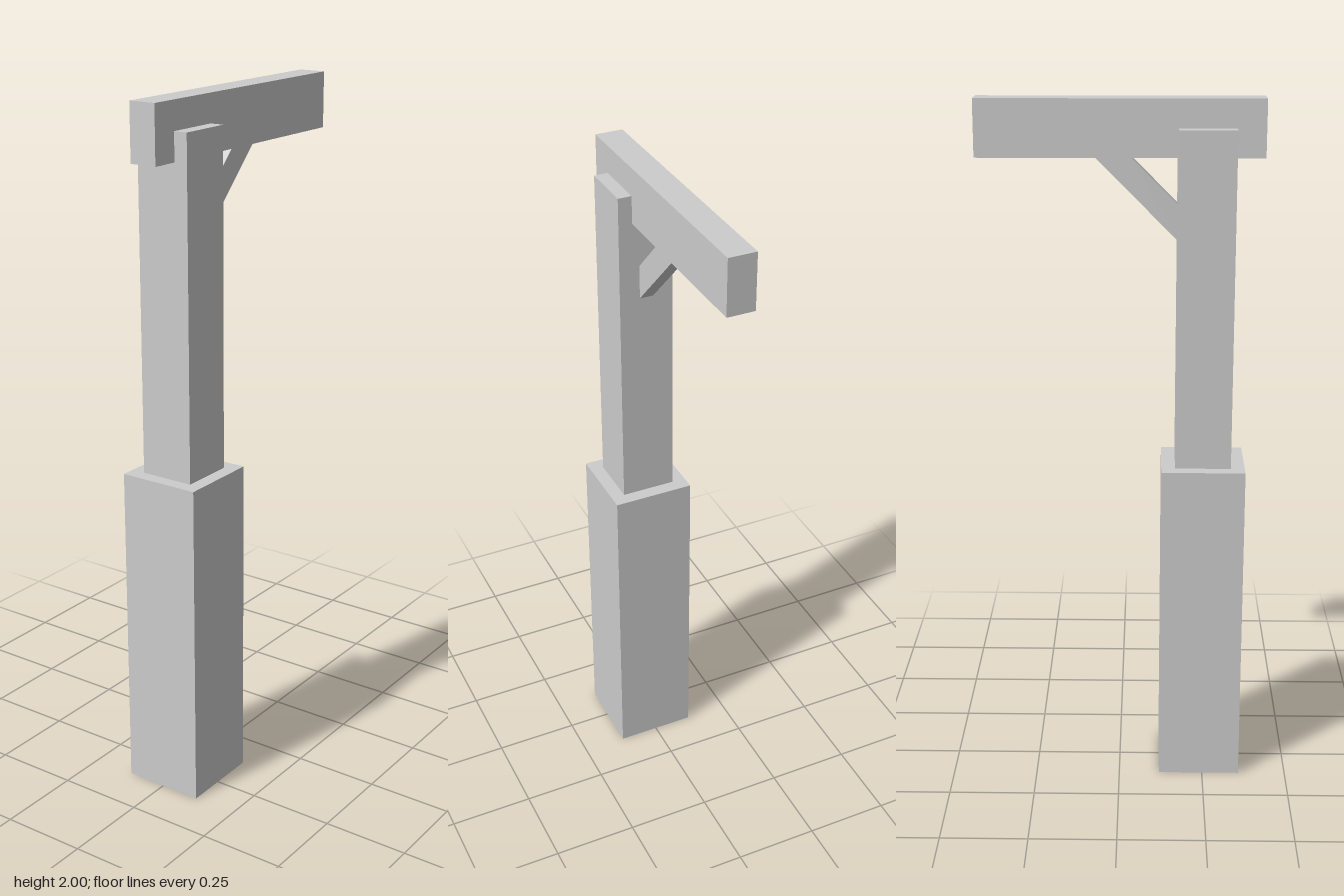
import * as THREE from 'three';

const material = new THREE.MeshStandardMaterial({ color: 0xcccccc, flatShading: true });

// Box given by its width, bottom, top, back and front
function block(name, width, y0, y1, z0, z1) {
  const mesh = new THREE.Mesh(new THREE.BoxGeometry(width, y1 - y0, z1 - z0), material);
  mesh.position.set(0, (y0 + y1) / 2, (z0 + z1) / 2);
  mesh.name = name;
  return mesh;
}

// Diagonal strut, mitred against the post's back face and the beam's underside
function makeBrace(width) {
  const outline = [[-0.16, 1.61], [0.07, 1.84], [-0.03, 1.84], [-0.16, 1.71]]; // (-z, y)
  const shape = new THREE.Shape(outline.map(([x, y]) => new THREE.Vector2(x, y)));
  const geometry = new THREE.ExtrudeGeometry(shape, { depth: width, bevelEnabled: false });
  geometry.translate(0, 0, -width / 2).rotateY(Math.PI / 2);
  const mesh = new THREE.Mesh(geometry, material);
  mesh.name = 'brace';
  return mesh;
}

export function createModel() {
  const model = new THREE.Group();
  model.name = 'bracketPost';
  model.add(
    block('base', 0.24, 0, 0.96, 0.12, 0.36),
    block('post', 0.16, 0.96, 1.92, 0.16, 0.32),
    block('beam', 0.08, 1.84, 2, -0.4, 0.4),
    makeBrace(0.04)
  );
  return model;
}
